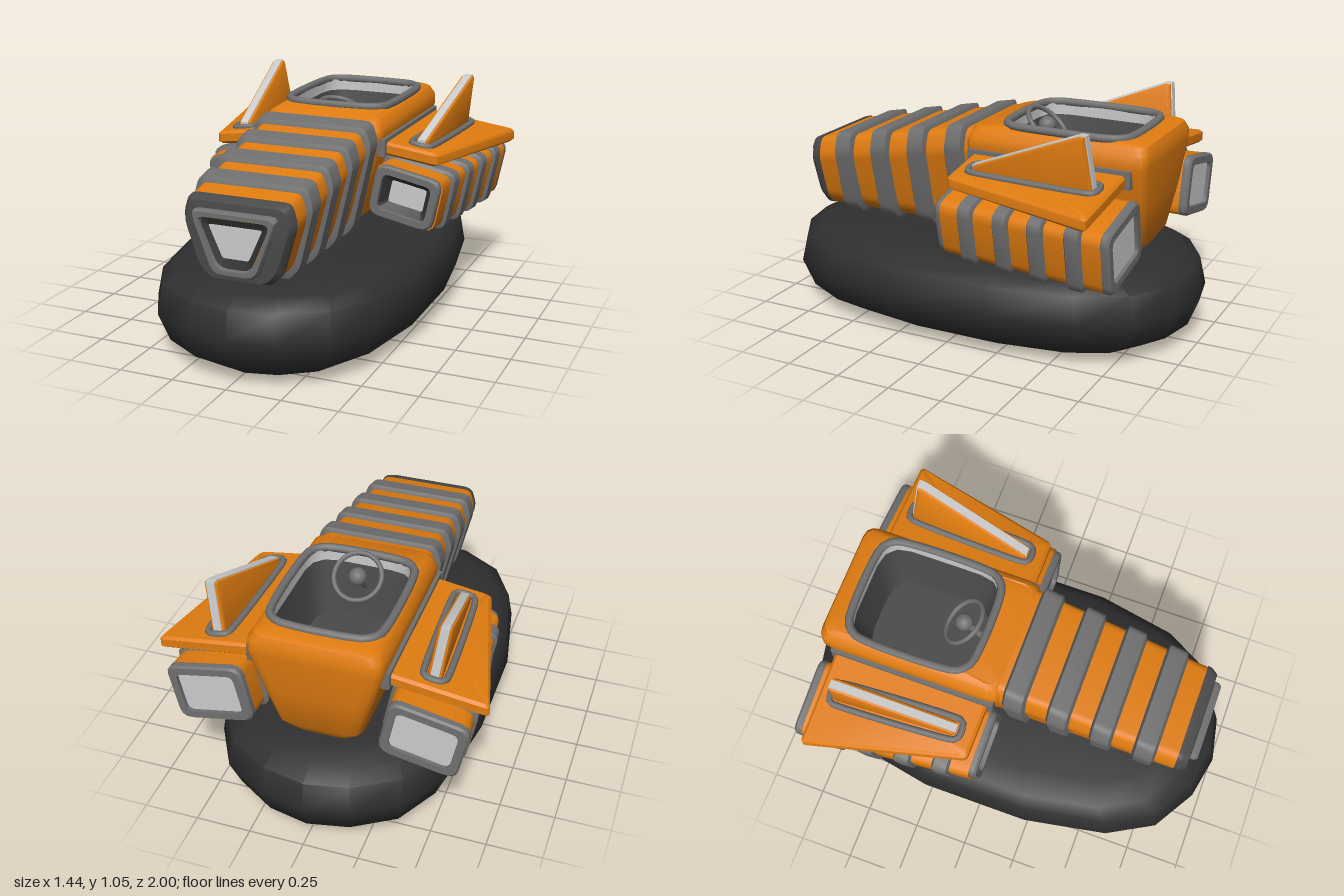
import * as THREE from 'three';
import { toCreasedNormals } from 'three/addons/utils/BufferGeometryUtils.js';

const makeMaterial = (name, color) => {
  const m = new THREE.MeshStandardMaterial({ color });
  m.name = name;
  return m;
};

// Counter-clockwise polygon with every corner rounded by radius r
function roundedPoly(corners, r, seg = 3) {
  const pts = corners.map(([x, y]) => new THREE.Vector2(x, y));
  if (THREE.ShapeUtils.area(pts) < 0) pts.reverse();
  const out = [];
  pts.forEach((p, i) => {
    const prev = pts[(i + pts.length - 1) % pts.length], next = pts[(i + 1) % pts.length];
    const a = prev.clone().sub(p), b = next.clone().sub(p);
    const A = p.clone().add(a.clone().setLength(Math.min(r, a.length() * 0.45)));
    const B = p.clone().add(b.clone().setLength(Math.min(r, b.length() * 0.45)));
    out.push(...new THREE.QuadraticBezierCurve(A, p, B).getPoints(seg));
  });
  return out;
}
const rect = (x0, x1, y0, y1) => [[x0, y0], [x1, y0], [x1, y1], [x0, y1]];
const upright = (pts, z) => pts.map(p => new THREE.Vector3(p.x, p.y, z));
const level = (pts, y) => pts.map(p => new THREE.Vector3(p.x, y, -p.y));

// Skin through equal-length rings; closed joins the last ring to the first
function loft(rings, { start = false, end = false, closed = false, crease = 0.6 } = {}) {
  const n = rings[0].length, pos = [], idx = [];
  rings.forEach(r => r.forEach(p => pos.push(p.x, p.y, p.z)));
  const last = closed ? rings.length : rings.length - 1;
  for (let i = 0; i < last; i++) for (let j = 0; j < n; j++) {
    const k = (j + 1) % n, i2 = (i + 1) % rings.length;
    const a = i * n + j, b = i * n + k, c = i2 * n + k, d = i2 * n + j;
    idx.push(a, b, c, a, c, d);
  }
  const cap = (ri, flip) => {
    const mid = new THREE.Vector3();
    rings[ri].forEach(p => mid.addScaledVector(p, 1 / n));
    const c = pos.length / 3;
    pos.push(mid.x, mid.y, mid.z);
    for (let j = 0; j < n; j++) {
      const a = ri * n + j, b = ri * n + (j + 1) % n;
      if (flip) idx.push(c, b, a);
      else idx.push(c, a, b);
    }
  };
  if (start) cap(0, true);
  if (end) cap(rings.length - 1, false);
  const g = new THREE.BufferGeometry();
  g.setAttribute('position', new THREE.Float32BufferAttribute(pos, 3));
  g.setIndex(idx);
  return toCreasedNormals(g, crease);
}

export function createModel() {
  const orange = makeMaterial('orange paint', 0xe07c10);
  const grey = makeMaterial('grey trim', 0x707070);
  const dark = makeMaterial('dark grey', 0x4a4a4a);
  const black = makeMaterial('recess black', 0x303030);
  const rubber = makeMaterial('skirt rubber', 0x2f2f2f);
  const light = makeMaterial('light panel', 0xcccccc);
  const model = new THREE.Group();
  model.name = 'hovercraft';
  const add = (name, geo, mat, parent = model) => {
    const m = new THREE.Mesh(geo, mat);
    m.name = name;
    parent.add(m);
  };
  const solid = { start: true, end: true };

  // Inflated skirt
  const quarter = [[1, 0.25], [0.88, 0.63], [0.68, 0.84], [0.34, 0.96]];
  const half = [...quarter, [0, 1], ...quarter.slice().reverse().map(([x, z]) => [-x, z])];
  const outline = [...half, ...half.map(([x, z]) => [-x, -z])];
  const skirtRows = [[0.41, 0.82, 0], [0.54, 0.95, 0.08], [0.59, 1, 0.21], [0.57, 0.97, 0.335],
    [0.52, 0.89, 0.38], [0.41, 0.8, 0.41]];
  add('skirt', loft(skirtRows.map(([w, l, y]) =>
    outline.map(([x, z]) => new THREE.Vector3(x * w, y, -z * l))), { ...solid, crease: 0.85 }), rubber);

  // Tapered nose with ribs: w, t = top half-width and height, b, bot = bottom
  const section = (w, t, b, bot, z) => upright(roundedPoly([[-b, bot], [b, bot], [b + 0.05, bot + 0.055],
    [w, t - 0.09], [w * 0.9, t], [-w * 0.9, t], [-w, t - 0.09], [-b - 0.05, bot + 0.055]], 0.03), z);
  const hullRing = (z, g = 0) =>
    section(0.25 + (0.82 - z) * 0.035 + g, 0.775 + (0.82 - z) * 0.19 + g, 0.14 + g, 0.425 - g, z);
  add('noseHull', loft([hullRing(0), hullRing(0.84)], solid), orange);
  for (const z of [0.08, 0.28, 0.48, 0.68])
    add('noseRib', loft([hullRing(z - 0.052), hullRing(z - 0.04, 0.02), hullRing(z + 0.04, 0.02),
      hullRing(z + 0.052)], solid), grey);

  // Nose cap, intake frame and panel
  add('noseCap', loft([hullRing(0.825, 0.004), hullRing(0.845, 0.004), section(0.235, 0.76, 0.125, 0.432, 0.875),
    section(0.17, 0.715, 0.07, 0.48, 0.88)], { start: true }), dark);
  const intake = (wt, t, wb, b, z, r = 0.04) =>
    upright(roundedPoly([[-wb, b], [wb, b], [wt, t], [-wt, t]], r), z);
  add('noseFrame', loft([intake(0.2, 0.73, 0.1, 0.455, 0.86), intake(0.2, 0.73, 0.1, 0.455, 0.895),
    intake(0.19, 0.722, 0.094, 0.463, 0.91), intake(0.168, 0.703, 0.078, 0.482, 0.91),
    intake(0.16, 0.695, 0.07, 0.49, 0.86)], { closed: true }), grey);
  add('noseRecess', loft([intake(0.162, 0.697, 0.072, 0.488, 0.895),
    intake(0.12, 0.665, 0.058, 0.53, 0.883, 0.01)]), black);
  add('nosePanel', loft([intake(0.122, 0.667, 0.059, 0.528, 0.877, 0.01),
    intake(0.122, 0.667, 0.059, 0.528, 0.885, 0.01)], solid), light);

  // Cabin shell, widening upward and folding in to the cockpit opening
  const plan = (w, front, back, y, r) => level(roundedPoly(rect(-w, w, -front, -back), r), y).map(p => {
    if (y > 0.88) p.y -= Math.max(0, p.z + 0.1) * 0.25;
    return p;
  });
  const opening = (y, s = 0) => plan(0.24 - s, -0.145 - s, -0.715 + s, y, 0.12);
  add('cabin', loft([plan(0.14, 0.02, -0.74, 0.42, 0.06), plan(0.19, 0.02, -0.78, 0.48, 0.06),
    plan(0.24, 0.02, -0.81, 0.66, 0.06), plan(0.297, 0.02, -0.83, 0.86, 0.06),
    plan(0.293, 0.02, -0.83, 0.91, 0.06), plan(0.27, 0.01, -0.815, 0.947, 0.06),
    plan(0.25, 0, -0.795, 0.957, 0.06), opening(0.96)], { start: true }), orange);

  // Cockpit
  add('cockpitLining', loft([opening(0.96), opening(0.905)]), light);
  add('cockpitTub', loft([opening(0.905), opening(0.66, 0.04)], { end: true }), dark);
  const rim = new THREE.CatmullRomCurve3(plan(0.25, -0.135, -0.725, 0.962, 0.12), true);
  add('cockpitRim', new THREE.TubeGeometry(rim, 64, 0.019, 8, true), grey);

  // Steering wheel leaning towards the driver, its forward edge the higher one
  const wheel = new THREE.Group();
  wheel.name = 'steeringWheel';
  wheel.position.set(0, 0.915, -0.25);
  wheel.rotation.x = -Math.PI / 2 - 0.73;
  model.add(wheel);
  add('wheelRing', new THREE.TorusGeometry(0.107, 0.011, 8, 32), grey, wheel);
  add('wheelHub', new THREE.SphereGeometry(0.04, 16, 12), grey, wheel);
  add('wheelColumn', new THREE.CylinderGeometry(0.016, 0.016, 0.24, 10).rotateX(Math.PI / 2)
    .translate(0, 0, -0.12), grey, wheel);

  for (const s of [1, -1]) {
    const side = new THREE.Group();
    side.name = s > 0 ? 'leftSide' : 'rightSide';
    model.add(side);

    // Engine pod: tilted rounded boxes, larger and further out towards the back
    const podRing = (z, hw, hh, r = 0.05) => {
      const k = THREE.MathUtils.clamp(-z / 0.8, 0, 1);
      const c = new THREE.Vector2(s * (0.41 + 0.062 * k), 0.59 - 0.008 * k);
      const pts = roundedPoly(rect(-hw, hw, -hh, hh), r);
      return upright(pts.map(p => p.rotateAround(new THREE.Vector2(), -s * 0.2).add(c)), z);
    };
    const bodyRing = (z, g = 0) => podRing(z, 0.162 - z * 0.016 + g, 0.126 - z * 0.016 + g);
    add('podBody', loft([bodyRing(-0.8, -0.03), bodyRing(-0.8), bodyRing(-0.02), bodyRing(-0.02, -0.02)]), orange, side);
    for (const z of [-0.148, -0.322, -0.488, -0.662])
      add('podRib', loft([bodyRing(z - 0.04), bodyRing(z - 0.03, 0.014), bodyRing(z + 0.03, 0.014),
        bodyRing(z + 0.04)], solid), grey, side);
    const podFrame = (z0, z1, w, h, t) => loft([podRing(z0, w, h), podRing(z0 + 0.01, w + 0.008, h + 0.008),
      podRing(z1 - 0.01, w + 0.008, h + 0.008), podRing(z1, w, h), podRing(z1, w - t, h - t, 0.03),
      podRing(z0, w - t, h - t, 0.03)], { closed: true });
    add('podFrontFrame', podFrame(-0.03, 0.012, 0.148, 0.116, 0.03), grey, side);
    add('podRecess', loft([podRing(-0.005, 0.122, 0.09, 0.03), podRing(-0.04, 0.084, 0.052, 0.01)]), black, side);
    add('podFrontPanel', loft([podRing(-0.047, 0.088, 0.056, 0.01), podRing(-0.039, 0.088, 0.056, 0.01)], solid), light, side);
    add('podBackFrame', podFrame(-0.825, -0.78, 0.168, 0.132, 0.033), grey, side);
    add('podBackPanel', loft([podRing(-0.808, 0.138, 0.102, 0.03), podRing(-0.8, 0.138, 0.102, 0.03)], solid), light, side);

    // Wing plate sloping down outward
    const slope = p => { p.y -= 0.14 * (Math.abs(p.x) - 0.3); return p; };
    const wingRing = (y, i) => level(roundedPoly([[s * 0.28, 0.03 + i], [s * (0.55 - i), 0.035 + i],
      [s * (0.725 - i), 0.75 - i], [s * 0.28, 0.75 - i]], 0.02), y).map(slope);
    add('wing', loft([wingRing(0.772, 0.015), wingRing(0.785, 0), wingRing(0.822, 0), wingRing(0.834, 0.012)],
      solid), orange, side);
    const root = y => level(roundedPoly(rect(s * 0.27, s * 0.312, 0.005, 0.77), 0.01), y);
    add('wingRoot', loft([root(0.77), root(0.85)], solid), grey, side);

    // Fin leaning outward, with a pale edge strip and a base moulding
    const fin = (depth, bevelThickness, bevelSize, bevelOffset) => {
      const shape = new THREE.Shape([[0.12, 0.79], [0.12, 0.835], [0.63, 1.042], [0.655, 1.042], [0.685, 0.79]]
        .map(([u, v]) => new THREE.Vector2(u, v)));
      const g = new THREE.ExtrudeGeometry(shape, { depth, bevelThickness, bevelSize, bevelOffset, bevelSegments: 2 });
      g.translate(0, 0, -depth / 2).rotateY(Math.PI / 2);
      const p = g.attributes.position;
      for (let i = 0; i < p.count; i++)
        p.setX(i, p.getX(i) + s * (0.445 + 0.14 * (p.getY(i) - 0.8) + 0.05 * (-0.12 - p.getZ(i))));
      return toCreasedNormals(g, 0.5);
    };
    add('fin', fin(0.032, 0.016, 0.014, -0.014), orange, side);
    add('finEdge', fin(0.036, 0.001, 0.004, 0), light, side);
    const base = level(roundedPoly([[s * 0.398, 0.095], [s * 0.497, 0.095], [s * 0.527, 0.7], [s * 0.425, 0.7]], 0.04), 0.838)
      .map(slope);
    add('finBase', new THREE.TubeGeometry(new THREE.CatmullRomCurve3(base, true), 60, 0.015, 8, true), grey, side);
  }
  return model;
}
